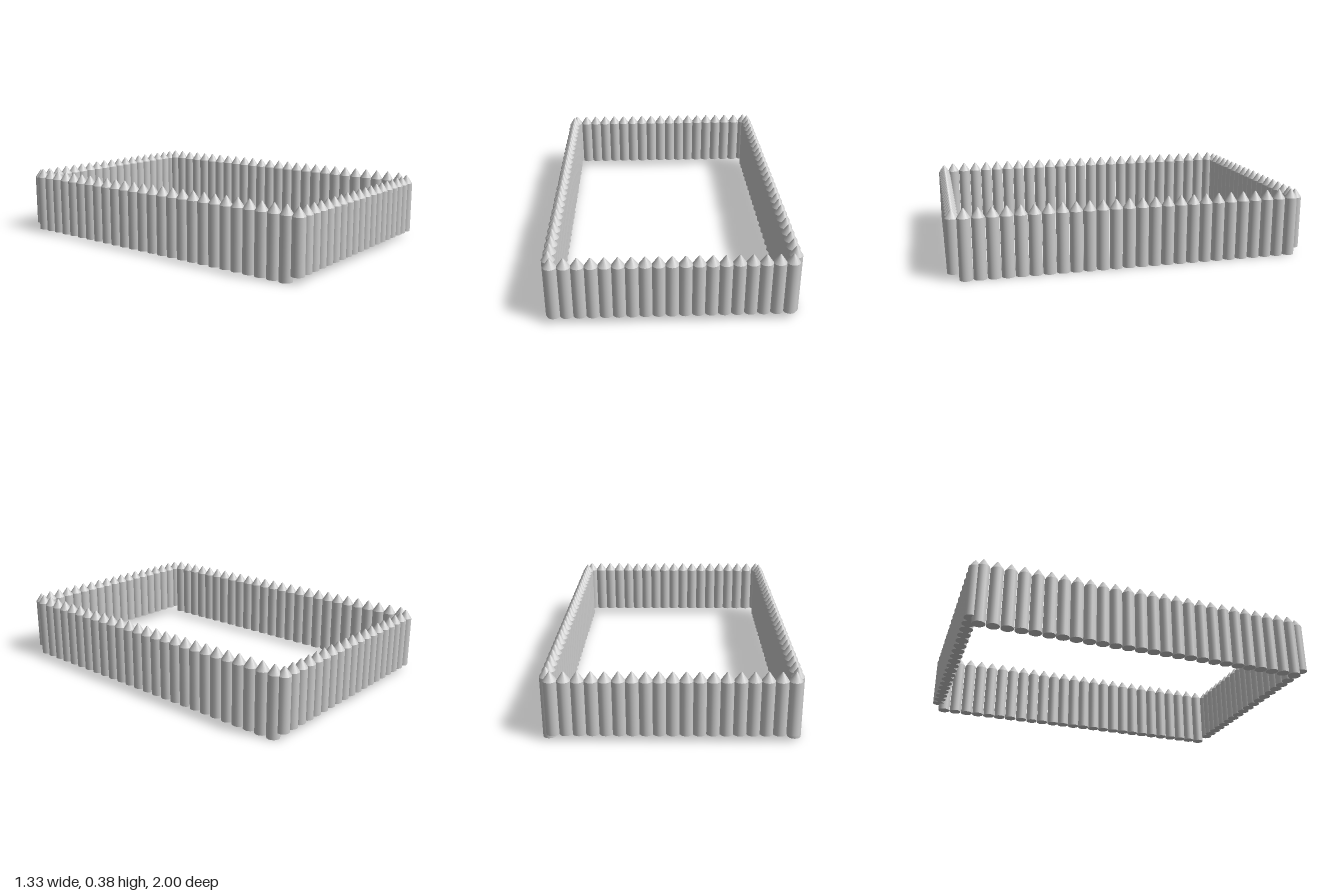
import * as THREE from 'three';

const RADIUS = 0.0355;
const SIDES = 16;

// One stake: round trunk, sharpened to a slightly blunt point
function stakeGeometry(bottom, shoulder, tip) {
  const v = (x, y) => new THREE.Vector2(x, y);
  // doubled points keep the rims sharp
  const profile = [
    v(0, bottom), v(RADIUS, bottom), v(RADIUS, bottom),
    v(RADIUS, shoulder), v(RADIUS, shoulder),
    v(0.004, tip - 0.002), v(0, tip),
  ];
  return new THREE.LatheGeometry(profile, SIDES);
}

// A straight row of stakes between two ground points
function stakeRow(name, geometry, material, count, from, to) {
  const row = new THREE.Group();
  row.name = name;
  for (let i = 0; i < count; i++) {
    const t = i / (count - 1);
    const stake = new THREE.Mesh(geometry, material);
    stake.name = 'stake';
    stake.position.set(
      THREE.MathUtils.lerp(from[0], to[0], t), 0,
      THREE.MathUtils.lerp(from[1], to[1], t));
    row.add(stake);
  }
  return row;
}

export function createModel() {
  const model = new THREE.Group();
  model.name = 'palisade';
  const material = new THREE.MeshStandardMaterial({ color: 0xcccccc });

  // End walls sit a little above the ground, side walls reach down to it
  const endStake = stakeGeometry(0.035, 0.329, 0.377);
  const sideStake = stakeGeometry(0, 0.333, 0.384);

  for (const s of [1, -1]) {
    model.add(stakeRow(s > 0 ? 'frontWall' : 'backWall', endStake, material, 19,
      [-0.613, s * 0.9645], [0.603, s * 0.9645]));
    model.add(stakeRow(s > 0 ? 'leftWall' : 'rightWall', sideStake, material, 26,
      [s * 0.627, -0.925], [s * 0.627, 0.905]));
  }
  return model;
}
